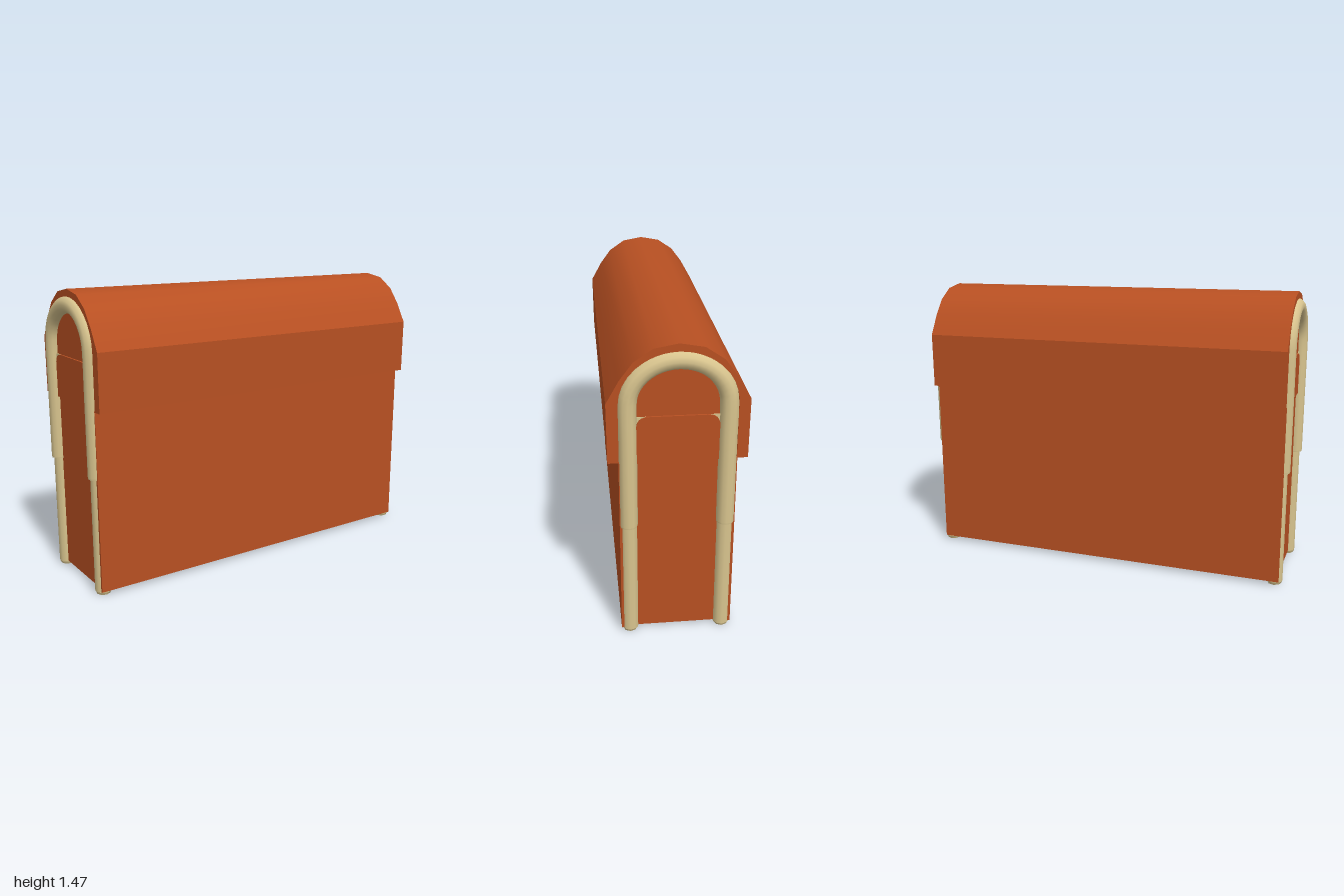
import * as THREE from 'three';
import { toCreasedNormals } from 'three/addons/utils/BufferGeometryUtils.js';

const rust = new THREE.MeshStandardMaterial({ color: 0xb85022 });
rust.name = 'rust red';
const cream = new THREE.MeshStandardMaterial({ color: 0xd8c48e });
cream.name = 'cream';

function add(parent, name, geometry, material) {
  const mesh = new THREE.Mesh(geometry, material);
  mesh.name = name;
  parent.add(mesh);
  return mesh;
}

// Extrudes a (z, y) outline along x between two positions
function extrudeX(points, x0, x1) {
  const shape = points instanceof THREE.Shape
    ? points : new THREE.Shape(points.map(([z, y]) => new THREE.Vector2(z, y)));
  const geo = new THREE.ExtrudeGeometry(shape, { depth: x1 - x0, bevelEnabled: false, curveSegments: 8 });
  geo.rotateY(Math.PI / 2).translate(x0, 0, 0);
  return toCreasedNormals(geo, 0.45);
}

// Half-ellipse from +z over the top to -z
function arch(rz, ry, y, n) {
  const pts = [];
  for (let i = 0; i <= n; i++) {
    const a = (i / n) * Math.PI;
    pts.push([rz * Math.cos(a), y + ry * Math.sin(a)]);
  }
  return pts;
}

// Mirrors an outline given for +z, listed from bottom to apex
function mirrored(half) {
  return [...half, ...half.slice(0, -1).reverse().map(([z, y]) => [-z, y])];
}

// Thin end flap with rounded top corners
function flapShape(w, y0, y1, r) {
  const s = new THREE.Shape();
  s.moveTo(-w, y0);
  s.lineTo(w, y0);
  s.lineTo(w, y1 - r);
  s.quadraticCurveTo(w, y1, w - r, y1);
  s.lineTo(-w + r, y1);
  s.quadraticCurveTo(-w, y1, -w, y1 - r);
  s.closePath();
  return s;
}

function createEnd(side) {
  const end = new THREE.Group();
  end.name = side > 0 ? 'leftEnd' : 'rightEnd';

  // Arched piping over the upper part of the end
  const path = [[0.222, 0.6], [0.222, 0.8], [0.222, 1.0], ...arch(0.222, 0.203, 1.195, 12),
    [-0.222, 1.0], [-0.222, 0.8], [-0.222, 0.6]];
  const curve = new THREE.CatmullRomCurve3(path.map(([z, y]) => new THREE.Vector3(side * 0.957, y, z)));
  add(end, 'archPiping', new THREE.TubeGeometry(curve, 64, 0.042, 12), cream);

  for (const s of [1, -1]) {
    // Lower piping, foot and the cap closing the upper piping
    const lower = add(end, 'cornerPiping', new THREE.CylinderGeometry(0.041, 0.041, 0.59, 12), cream);
    lower.position.set(side * 0.946, 0.31, s * 0.222);
    const foot = add(end, 'foot', new THREE.CylinderGeometry(0.041, 0.034, 0.016, 8), cream);
    foot.position.set(side * 0.946, 0.008, s * 0.222);
    const cap = add(end, 'pipingCap', new THREE.CylinderGeometry(0.042, 0.041, 0.012, 12), cream);
    cap.position.set(side * 0.957, 0.599, s * 0.222);
  }

  // Flap with a cream lining showing at its upper corners
  const plate = (a, b) => (side > 0 ? [a, b] : [-b, -a]);
  add(end, 'flapLining', extrudeX([[-0.2, 1.04], [0.2, 1.04], [0.2, 1.139], [-0.2, 1.139]],
    ...plate(0.954, side > 0 ? 0.96 : 0.963)), cream);
  add(end, 'endFlap', extrudeX(flapShape(0.185, 0.92, 1.14, 0.06), ...plate(0.955, 0.966)), rust);
  return end;
}

export function createModel() {
  const model = new THREE.Group();
  model.name = 'archedCase';

  // Core with arched ends
  add(model, 'core', extrudeX([[0.255, 0.02], ...arch(0.255, 0.22, 1.2, 16), [-0.255, 0.02]], -0.957, 0.957), rust);

  // Flat front and back walls
  for (const s of [1, -1]) {
    const wall = add(model, s > 0 ? 'frontWall' : 'backWall', new THREE.BoxGeometry(1.944, 0.91, 0.02), rust);
    wall.position.set(0, 0.475, s * 0.254);
  }

  // Overhanging arched lid as a thick shell
  const outer = mirrored([[0.312, 0.925], [0.314, 1.21], [0.255, 1.315], [0.195, 1.395], [0.11, 1.453], [0, 1.473]]);
  const inner = [[-0.262, 0.925], ...arch(0.262, 0.235, 1.2, 16).reverse(), [0.262, 0.925]];
  add(model, 'lid', extrudeX([...outer, ...inner], -0.97, 0.97), rust);

  model.add(createEnd(1), createEnd(-1));
  return model;
}
